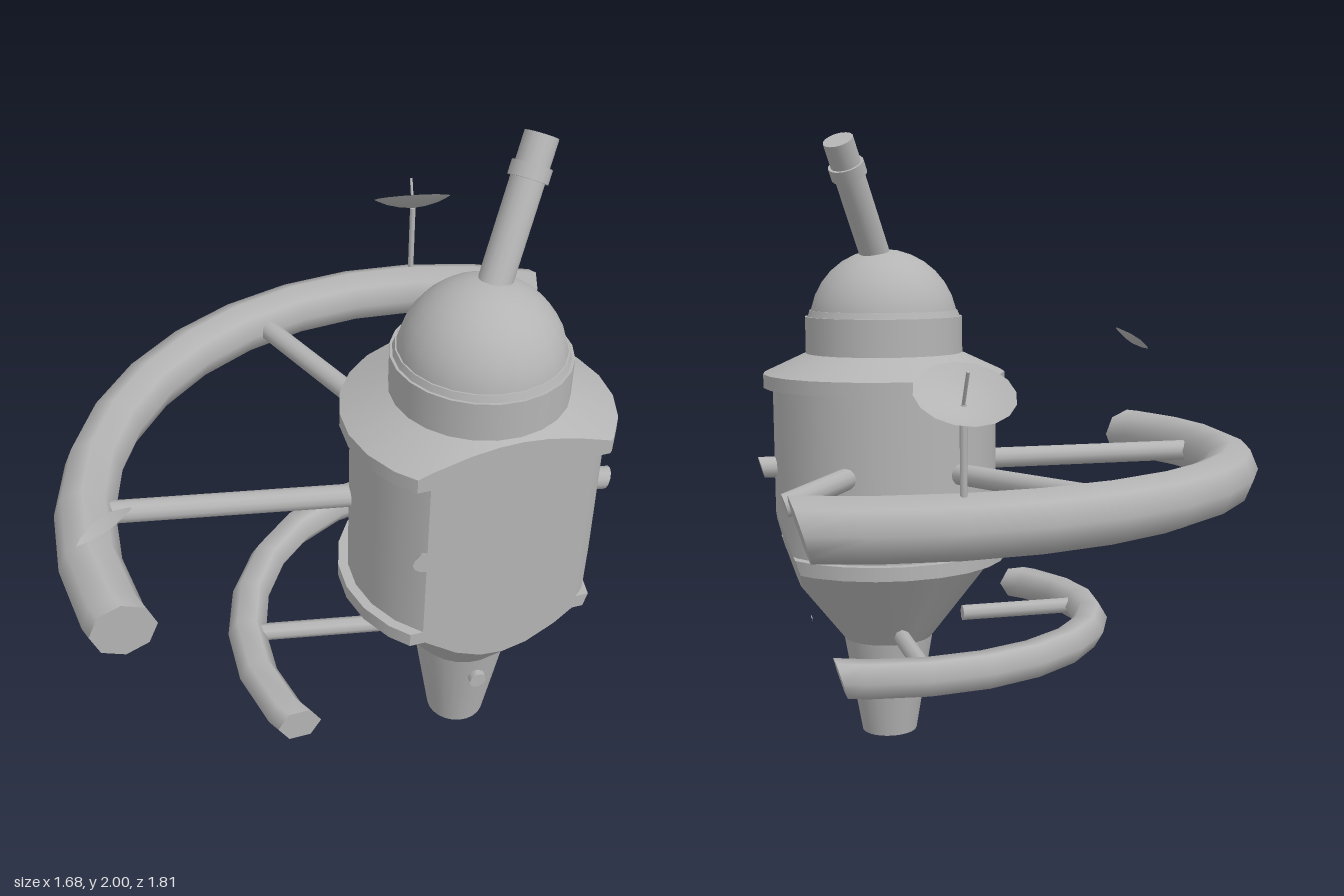
import * as THREE from 'three';

const CX = 0.4, CZ = 0.39; // vertical axis of the station
const hull = new THREE.MeshStandardMaterial({ color: 0xb4b4b4, side: THREE.DoubleSide });
hull.name = 'hull grey';

// two planes that slice the station; the inner side is kept
const cuts = [
  new THREE.Plane().setFromNormalAndCoplanarPoint(
    new THREE.Vector3(0.205, 0, 1).normalize(), new THREE.Vector3(0, 0, 0.752)),
  new THREE.Plane().setFromNormalAndCoplanarPoint(
    new THREE.Vector3(1, -0.293, 0).normalize(), new THREE.Vector3(0.542, 0, 0)),
];

// cut a geometry by a plane; a convex cut outline is closed with a flat fan
function clip(geometry, plane, cap) {
  const g = geometry.index ? geometry.toNonIndexed() : geometry;
  const P = g.attributes.position, N = g.attributes.normal;
  const pos = [], nor = [], segments = [];
  const push = (v) => { pos.push(v.p.x, v.p.y, v.p.z); nor.push(v.n.x, v.n.y, v.n.z); };
  for (let i = 0; i < P.count; i += 3) {
    const tri = [0, 1, 2].map((k) => {
      const p = new THREE.Vector3().fromBufferAttribute(P, i + k);
      return { p, n: new THREE.Vector3().fromBufferAttribute(N, i + k), d: plane.distanceToPoint(p) };
    });
    const out = [], edge = [];
    tri.forEach((a, k) => {
      const b = tri[(k + 1) % 3];
      if (a.d <= 0) out.push(a);
      if ((a.d <= 0) !== (b.d <= 0)) {
        const t = a.d / (a.d - b.d);
        const v = { p: a.p.clone().lerp(b.p, t), n: a.n.clone().lerp(b.n, t).normalize() };
        out.push(v);
        edge.push(v.p);
      }
    });
    for (let k = 1; k + 1 < out.length; k++) [out[0], out[k], out[k + 1]].forEach(push);
    if (edge.length === 2) segments.push(edge);
  }
  if (cap && segments.length) {
    const c = new THREE.Vector3(), n = plane.normal;
    segments.forEach(([a, b]) => c.add(a).add(b));
    c.divideScalar(segments.length * 2);
    for (const [a, b] of segments) {
      const facing = a.clone().sub(c).cross(b.clone().sub(c)).dot(n) > 0;
      (facing ? [c, a, b] : [c, b, a]).forEach((p) => push({ p, n }));
    }
  }
  const r = new THREE.BufferGeometry();
  r.setAttribute('position', new THREE.Float32BufferAttribute(pos, 3));
  r.setAttribute('normal', new THREE.Float32BufferAttribute(nor, 3));
  return r;
}

export function createModel() {
  const group = new THREE.Group();

  const add = (name, geometry, cap = true) => {
    for (const plane of cuts) geometry = clip(geometry, plane, cap);
    if (!geometry.attributes.position.count) return;
    const mesh = new THREE.Mesh(geometry, hull);
    mesh.name = name;
    group.add(mesh);
  };
  // point at angle a around the axis (0 = +x, 90 = back)
  const around = (deg, r, y) => {
    const a = THREE.MathUtils.degToRad(deg);
    return new THREE.Vector3(CX + r * Math.cos(a), y, CZ - r * Math.sin(a));
  };
  // round bar between two points
  const bar = (name, a, b, r, sides) => {
    const d = b.clone().sub(a), len = d.length();
    const q = new THREE.Quaternion().setFromUnitVectors(new THREE.Vector3(0, 1, 0), d.normalize());
    const g = new THREE.CylinderGeometry(r, r, len, sides).applyQuaternion(q);
    const m = a.clone().lerp(b, 0.5);
    add(name, g.translate(m.x, m.y, m.z));
  };

  // stacked hull sections: name, bottom y, top y, bottom radius, top radius
  const sections = [
    ['nozzle', 0, 0.333, 0.0925, 0.15],
    ['lowerCone', 0.333, 0.61, 0.15, 0.365],
    ['lowerFlange', 0.61, 0.655, 0.4, 0.4],
    ['mainBody', 0.655, 1.19, 0.37, 0.37],
    ['upperFlange', 1.19, 1.235, 0.4, 0.4],
    ['shoulder', 1.235, 1.3, 0.4, 0.26],
    ['collar', 1.29, 1.42, 0.26, 0.26],
    ['domeSeat', 1.42, 1.44, 0.252, 0.245],
  ];
  for (const [name, y0, y1, r0, r1] of sections) {
    add(name, new THREE.CylinderGeometry(r1, r0, y1 - y0, 24).translate(CX, (y0 + y1) / 2, CZ));
  }

  // dome and telescope
  add('dome', new THREE.SphereGeometry(0.245, 24, 8, 0, Math.PI * 2, 0, Math.PI / 2)
    .translate(CX, 1.395, CZ), false);
  const base = new THREE.Vector3(0.415, 1.58, 0.375), tip = new THREE.Vector3(0.57, 1.975, 0.188);
  const on = (t) => base.clone().lerp(tip, t);
  bar('telescopeTube', base, tip, 0.049, 16);
  bar('telescopeRing', on(0.73), on(0.82), 0.058, 16);

  // ring arcs
  const ring = (name, R, r, y, sides, steps, start, arc) => {
    const rad = THREE.MathUtils.degToRad;
    add(name, new THREE.TorusGeometry(R, r, sides, steps, rad(arc))
      .rotateZ(rad(start)).rotateX(-Math.PI / 2).translate(CX, y, CZ));
  };
  ring('upperRing', 1.15, 0.09, 0.928, 8, 16, 45, 180);
  ring('lowerRing', 0.69, 0.06, 0.388, 6, 13, 45, 195);

  // spokes
  for (let i = 0; i < 6; i++) {
    bar('upperSpoke', around(i * 60, 0.3, 0.928), around(i * 60, 1.15, 0.928), 0.035, 12);
  }
  for (let i = 0; i < 4; i++) {
    bar('lowerSpoke', around(i * 90, 0.26, 0.388), around(i * 90, 0.69, 0.388), 0.027, 8);
  }

  // antenna dishes on the upper ring, tilted outward
  for (const deg of [90, 210, 330]) {
    const foot = around(deg, 1.16, 0.98), top = around(deg, 1.165, 1.25);
    const normal = around(deg, 1, 0).sub(around(deg, 0, 0)).multiplyScalar(0.53);
    normal.y = 0.85;
    normal.normalize();
    bar('dishStem', foot, top, 0.01, 8);
    bar('dishFeed', top, top.clone().addScaledVector(normal, 0.105), 0.005, 6);
    const q = new THREE.Quaternion().setFromUnitVectors(new THREE.Vector3(0, 1, 0), normal);
    const profile = [[0, 0], [0.05, 0.006], [0.095, 0.018], [0.135, 0.036]]
      .map(([x, y]) => new THREE.Vector2(x, y));
    add('dish', new THREE.LatheGeometry(profile, 16).applyQuaternion(q)
      .translate(top.x, top.y, top.z), false);
  }
  return group;
}
